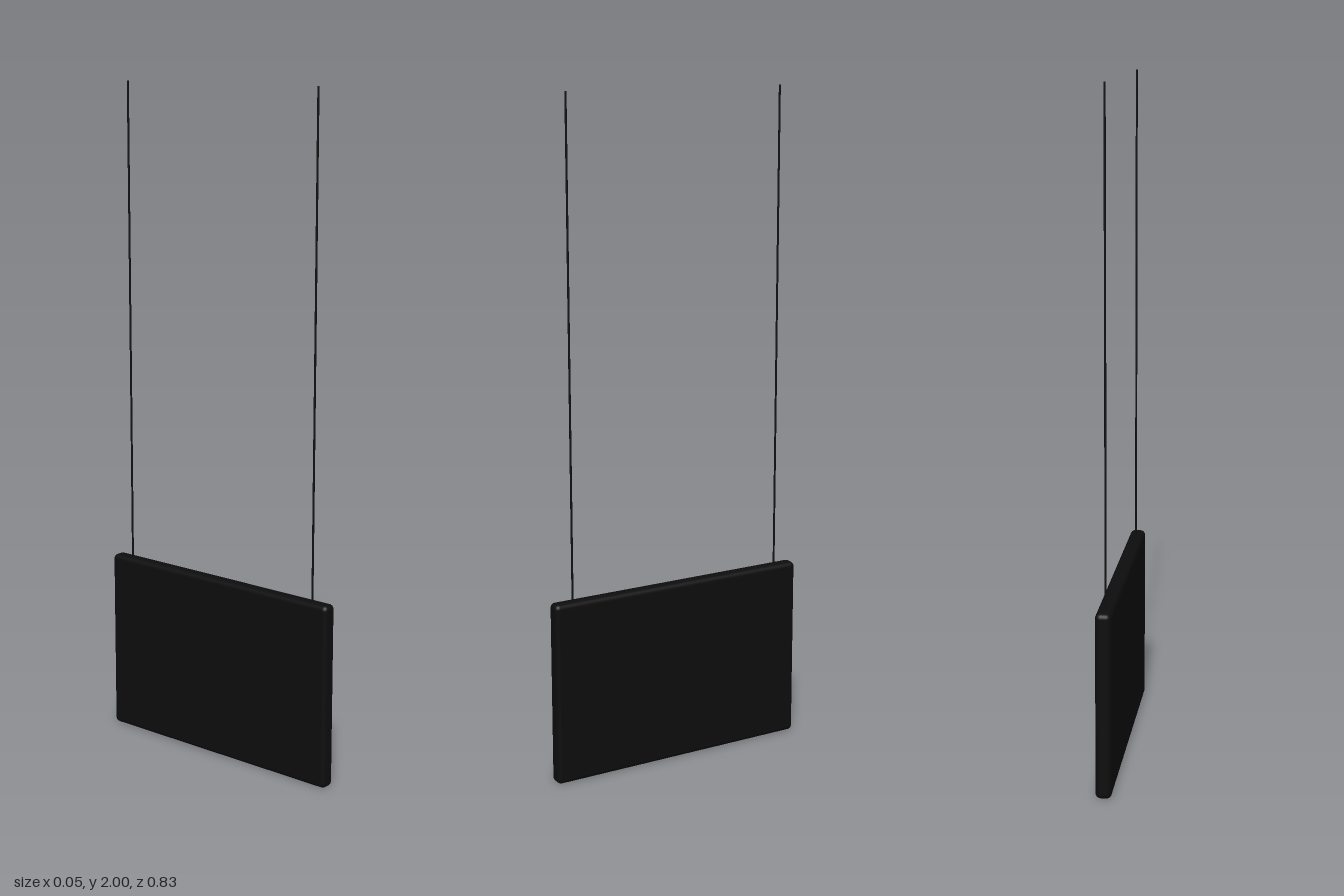
import * as THREE from 'three';
import { RoundedBoxGeometry } from 'three/addons/geometries/RoundedBoxGeometry.js';

export function createModel() {
  const group = new THREE.Group();
  const black = new THREE.MeshStandardMaterial({ color: 0x0d0d0d });

  const height = 0.553, top = 2, cordRadius = 0.003;

  // Slim hanging panel with softly rounded edges
  const panel = new THREE.Mesh(new RoundedBoxGeometry(0.046, height, 0.827, 4, 0.015), black);
  panel.name = 'panel';
  panel.position.y = height / 2;
  group.add(panel);

  // Two suspension cords, sunk slightly into the panel
  const bottom = height - 0.01;
  for (const side of [1, -1]) {
    const cord = new THREE.Mesh(
      new THREE.CylinderGeometry(cordRadius, cordRadius, top - bottom, 16), black);
    cord.name = side > 0 ? 'frontCord' : 'backCord';
    cord.position.set(0, (top + bottom) / 2, side * 0.348);
    group.add(cord);
  }
  return group;
}
